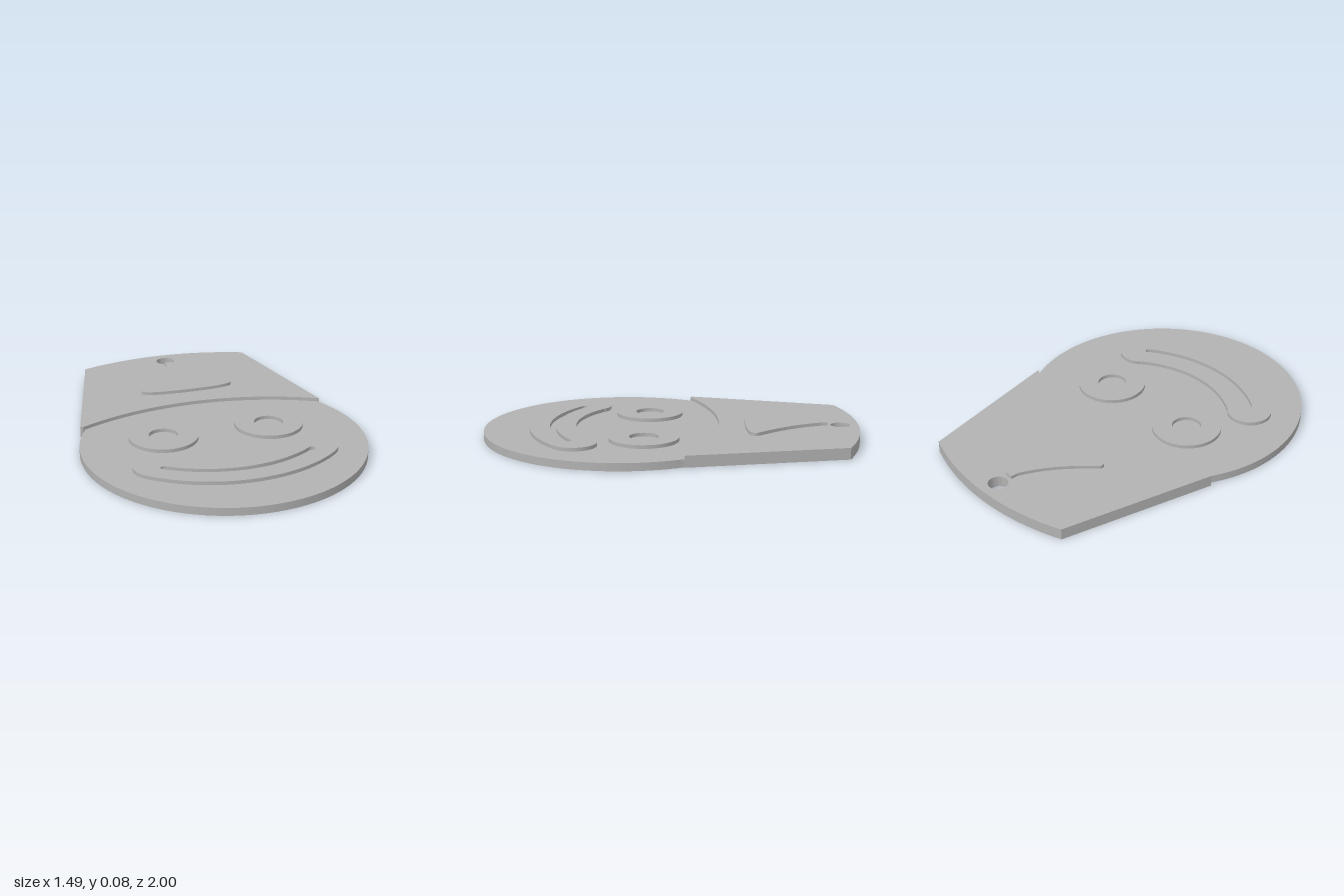
import * as THREE from 'three';
import { toCreasedNormals } from 'three/addons/utils/BufferGeometryUtils.js';

const H = Math.PI / 2;

// Outlines are drawn in (x, -z) and raised from y0 to y1.
function plate(name, shape, y0, y1, material) {
  const raw = new THREE.ExtrudeGeometry(shape, { depth: y1 - y0, bevelEnabled: false, curveSegments: 48 });
  raw.rotateX(-H);
  raw.translate(0, y0, 0);
  const mesh = new THREE.Mesh(toCreasedNormals(raw, 0.5), material);
  mesh.name = name;
  return mesh;
}

function circle(path, x, y, r) {
  path.absarc(x, y, r, 0, Math.PI * 2, false);
  return path;
}

// Curved band with rounded ends: lower arc, right end, upper arc, left end.
function smile(path, low, up, end) {
  path.absarc(0, low.y, low.r, -H - low.a, -H + low.a, false);
  path.absarc(end.x, end.y, end.r, -H + low.a, H + up.a, false);
  path.absarc(0, up.y, up.r, -H + up.a, -H - up.a, true);
  path.absarc(-end.x, end.y, end.r, H - up.a, 3 * H - low.a, false);
  return path;
}

export function createModel() {
  const group = new THREE.Group();
  group.name = 'clownTag';
  const grey = new THREE.MeshStandardMaterial({ color: 0xb2b2b2 });
  grey.name = 'grey';

  const brim = { y: -1.164, r: 1.42 };

  // Round face, cut off along the hat brim
  const face = new THREE.Shape();
  const cut = 0.4785;
  const brimFace = Math.asin(0.661 / brim.r);
  face.absarc(0, -0.255, 0.745, Math.PI - cut, Math.PI * 2 + cut, false);
  face.absarc(0, brim.y, brim.r, H - brimFace, H + brimFace, false);
  group.add(plate('face', face, 0, 0.041, grey));

  // Tapered hat with curved top, curved brim and hanging hole
  const hat = new THREE.Shape();
  const topAngle = Math.asin(0.487 / 1.362);
  const brimHat = Math.asin(0.668 / brim.r);
  hat.moveTo(0.684, 0.096);
  hat.absarc(0, -0.362, 1.362, H - topAngle, H + topAngle, false);
  hat.lineTo(-0.684, 0.096);
  hat.absarc(0, brim.y, brim.r, H + brimHat, H - brimHat, true);
  hat.holes.push(circle(new THREE.Path(), 0, 0.903, 0.051));
  group.add(plate('hat', hat, 0, 0.06, grey));

  // Ring eyes
  for (const [name, side] of [['leftEye', 1], ['rightEye', -1]]) {
    const eye = circle(new THREE.Shape(), side * 0.29, -0.13, 0.183);
    eye.holes.push(circle(new THREE.Path(), side * 0.29, -0.13, 0.077));
    group.add(plate(name, eye, 0.041, 0.06, grey));
  }

  // Smiling lips with a narrow slit
  const mouth = smile(new THREE.Shape(),
    { y: 0, r: 0.755, a: 0.7 }, { y: 0.055, r: 0.563, a: 0.66 }, { x: 0.42, y: -0.477, r: 0.118 });
  mouth.holes.push(smile(new THREE.Path(),
    { y: 0.052, r: 0.7, a: 0.607 }, { y: 0.052, r: 0.666, a: 0.607 }, { x: 0.39, y: -0.509, r: 0.017 }));
  group.add(plate('mouth', mouth, 0.041, 0.06, grey));

  // Flared tassel on the hat
  const tassel = new THREE.Shape();
  tassel.moveTo(0.022, 0.834);
  tassel.lineTo(-0.022, 0.834);
  tassel.lineTo(-0.022, 0.796);
  tassel.bezierCurveTo(-0.09, 0.63, -0.17, 0.55, -0.255, 0.463);
  tassel.bezierCurveTo(-0.285, 0.425, -0.24, 0.394, 0, 0.394);
  tassel.bezierCurveTo(0.24, 0.394, 0.285, 0.425, 0.255, 0.463);
  tassel.bezierCurveTo(0.17, 0.55, 0.09, 0.63, 0.022, 0.796);
  group.add(plate('tassel', tassel, 0.06, 0.077, grey));

  return group;
}
